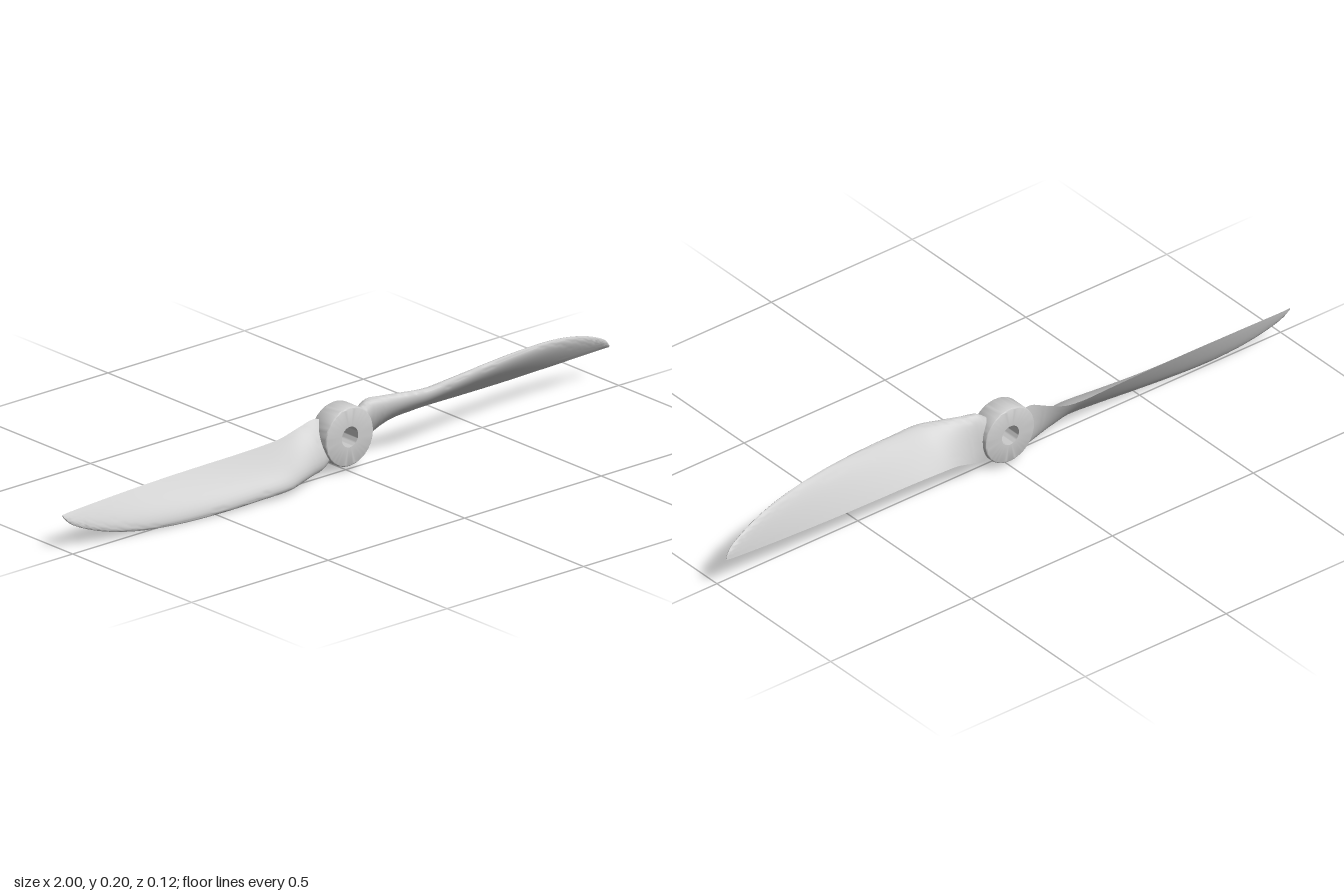
import * as THREE from 'three';
import { toCreasedNormals } from 'three/addons/utils/BufferGeometryUtils.js';

const HUB_Y = 0.104;

// Blade stations from root to tip: x, leading y, leading z, trailing y, trailing z, thickness
const STATIONS = [
  [0.055, 0.168, -0.012, 0.052, -0.032, 0.045],
  [0.085, 0.188, -0.008, 0.046, -0.038, 0.045],
  [0.13, 0.19, 0.008, 0.062, -0.048, 0.045],
  [0.19, 0.19, 0.032, 0.083, -0.057, 0.044],
  [0.25, 0.191, 0.051, 0.089, -0.06, 0.04],
  [0.35, 0.196, 0.046, 0.09, -0.057, 0.036],
  [0.48, 0.203, 0.035, 0.09, -0.055, 0.031],
  [0.62, 0.205, 0.02, 0.091, -0.053, 0.026],
  [0.75, 0.198, 0.003, 0.094, -0.051, 0.021],
  [0.85, 0.181, -0.012, 0.097, -0.049, 0.016],
  [0.93, 0.156, -0.025, 0.1, -0.047, 0.011],
  [0.98, 0.131, -0.034, 0.102, -0.045, 0.007],
  [1.0, 0.11, -0.04, 0.103, -0.043, 0.003],
];

// Lofts a twisted aerofoil along the stations, relative to the hub axis
function bladeGeometry() {
  const curve = (f) => new THREE.CatmullRomCurve3(STATIONS.map((s) => new THREE.Vector3(...f(s))));
  const lead = curve((s) => [s[0], s[1] - HUB_Y, s[2]]);
  const trail = curve((s) => [s[0], s[3] - HUB_Y, s[4]]);
  const thick = curve((s) => [s[0], s[5], 0]);
  const rows = 72, half = 16, ring = half * 2;
  const pos = [], index = [];

  for (let i = 0; i <= rows; i++) {
    const a = lead.getPoint(i / rows), b = trail.getPoint(i / rows);
    const t = thick.getPoint(i / rows).y;
    const chord = a.clone().sub(b);
    const normal = new THREE.Vector3(0, -chord.z, chord.y).normalize();
    for (let j = 0; j < ring; j++) {
      // u runs from the trailing edge (1) over the front to the leading edge (0) and back
      const u = (1 + Math.cos((j / half) * Math.PI)) / 2;
      const h = t * (1.4845 * Math.sqrt(u) - 0.63 * u - 1.758 * u ** 2 + 1.4215 * u ** 3 - 0.518 * u ** 4);
      const side = j <= half ? 1.25 : -0.7;
      const p = a.clone().lerp(b, u).addScaledVector(normal, h * side);
      pos.push(p.x, p.y, p.z);
    }
  }
  for (let i = 0; i < rows; i++) {
    for (let j = 0; j < ring; j++) {
      const k = (j + 1) % ring;
      const p = i * ring + j, q = i * ring + k;
      index.push(p, p + ring, q, q, p + ring, q + ring);
    }
  }
  // Root and tip caps
  const last = rows * ring;
  for (let j = 1; j < ring - 1; j++) {
    index.push(0, j, j + 1, last, last + j + 1, last + j);
  }
  const geo = new THREE.BufferGeometry();
  geo.setAttribute('position', new THREE.Float32BufferAttribute(pos, 3));
  geo.setIndex(index);
  return toCreasedNormals(geo, 0.7);
}

// Bored hub with softened rims, turned so its axis lies along z
function hubGeometry() {
  const r = 0.087, bore = 0.03, back = -0.052, front = 0.018, c = 0.006;
  const profile = [[bore, back], [r - c, back]];
  for (let i = 1; i <= 4; i++) {
    const a = (i / 4) * Math.PI / 2;
    profile.push([r - c + c * Math.sin(a), back + c - c * Math.cos(a)]);
  }
  for (let i = 0; i <= 4; i++) {
    const a = (i / 4) * Math.PI / 2;
    profile.push([r - c + c * Math.cos(a), front - c + c * Math.sin(a)]);
  }
  profile.push([bore, front], [bore, back]);
  const geo = new THREE.LatheGeometry(profile.map((p) => new THREE.Vector2(...p)), 64);
  geo.rotateX(Math.PI / 2);
  return toCreasedNormals(geo, 0.6);
}

export function createModel() {
  const model = new THREE.Group();
  model.name = 'propeller';
  const material = new THREE.MeshStandardMaterial({ color: 0xcccccc });

  const rotor = new THREE.Group();
  rotor.name = 'rotor';
  rotor.position.y = HUB_Y;
  model.add(rotor);

  const hub = new THREE.Mesh(hubGeometry(), material);
  hub.name = 'hub';
  rotor.add(hub);

  // Two identical blades, half a turn apart
  const geo = bladeGeometry();
  ['leftBlade', 'rightBlade'].forEach((name, i) => {
    const blade = new THREE.Mesh(geo, material);
    blade.name = name;
    blade.rotation.z = i * Math.PI;
    rotor.add(blade);
  });
  return model;
}
